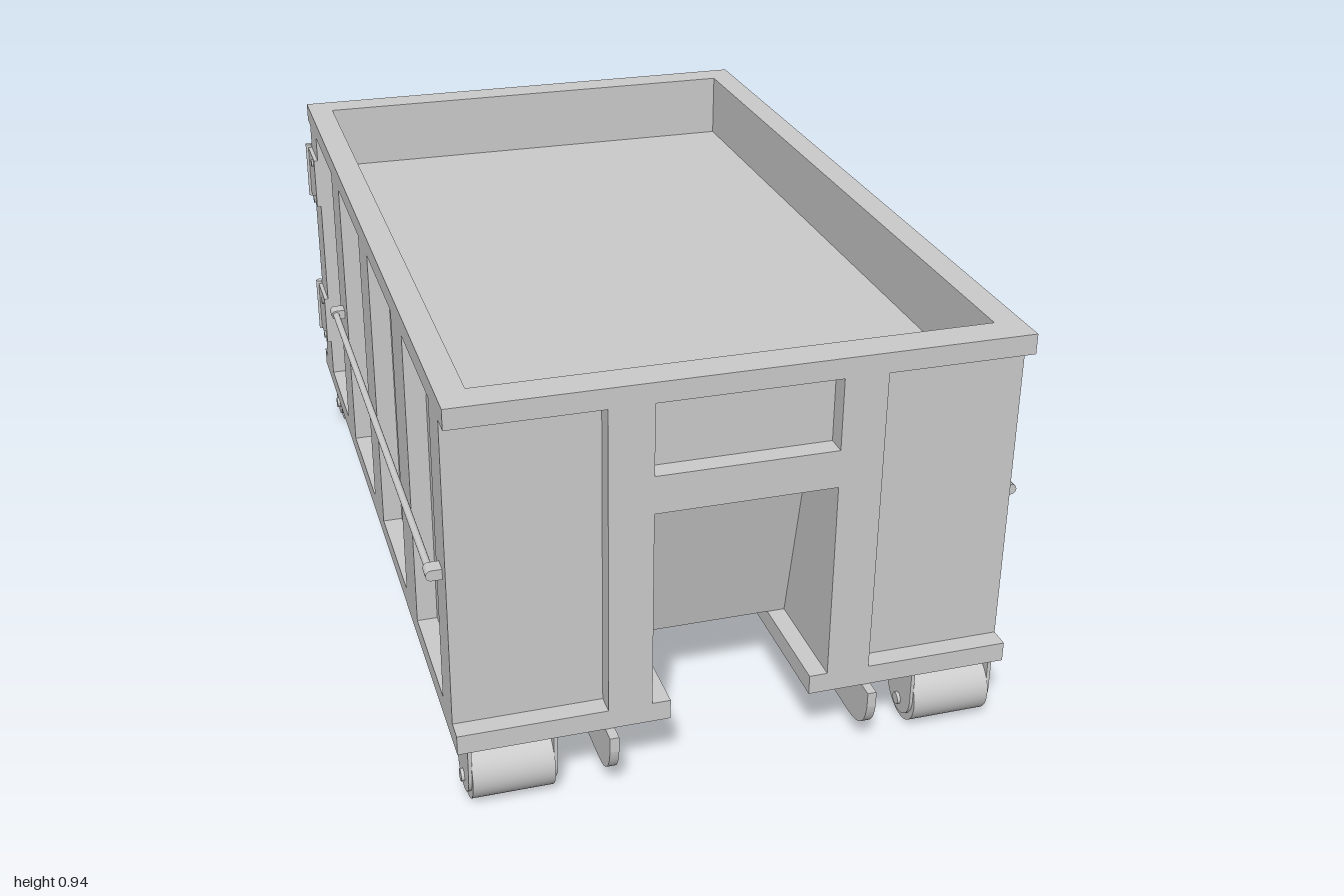
import * as THREE from 'three';

const material = new THREE.MeshStandardMaterial({ color: 0xcccccc });

export function createModel() {
  const model = new THREE.Group();
  model.name = 'rollOffContainer';

  const add = (name, geometry, parent = model) => {
    const mesh = new THREE.Mesh(geometry, material);
    mesh.name = name;
    parent.add(mesh);
    return mesh;
  };
  // Box given by its limits on each axis
  const box = (name, x0, x1, y0, y1, z0, z1, parent) => {
    const mesh = add(name, new THREE.BoxGeometry(Math.abs(x1 - x0), y1 - y0, Math.abs(z1 - z0)), parent);
    mesh.position.set((x0 + x1) / 2, (y0 + y1) / 2, (z0 + z1) / 2);
    return mesh;
  };
  // Side profile (z, y) extruded across x
  const prism = (name, shape, x, width, parent) => {
    const geometry = new THREE.ExtrudeGeometry(shape, { depth: width, bevelEnabled: false, curveSegments: 16 });
    geometry.translate(0, 0, -width / 2);
    const mesh = add(name, geometry.rotateY(-Math.PI / 2), model === parent ? model : parent);
    mesh.position.x = x;
    return mesh;
  };
  // Cylinder lying along x, y or z
  const rod = (name, radius, length, axis, x, y, z, parent, sides = 24) => {
    const geometry = new THREE.CylinderGeometry(radius, radius, length, sides);
    if (axis === 'x') geometry.rotateZ(Math.PI / 2);
    if (axis === 'z') geometry.rotateX(Math.PI / 2);
    const mesh = add(name, geometry, parent);
    mesh.position.set(x, y, z);
    return mesh;
  };
  // Horizontal rectangular ring around the open top
  const ring = (name, hx, hz, y0, y1) => {
    const rect = (a, b) => [[-a, -b], [a, -b], [a, b], [-a, b]].map(p => new THREE.Vector2(...p));
    const shape = new THREE.Shape(rect(hx, hz));
    shape.holes.push(new THREE.Path(rect(0.55, 0.89).reverse()));
    const geometry = new THREE.ExtrudeGeometry(shape, { depth: y1 - y0, bevelEnabled: false });
    add(name, geometry.rotateX(-Math.PI / 2)).position.y = y0;
  };

  // Body core, with a sloped tunnel end at front and back
  const core = new THREE.Shape([
    [-0.705, 0.195], [0.705, 0.195], [0.8, 0.65], [0.92, 0.65],
    [0.92, 0.78], [-0.92, 0.78], [-0.92, 0.65], [-0.8, 0.65],
  ].map(p => new THREE.Vector2(...p)));
  prism('centreBody', core, 0, 0.39, model);
  ring('upperWall', 0.565, 0.92, 0.78, 0.895);
  ring('topRim', 0.61, 0.965, 0.895, 0.94);

  // Skid rail profile with rounded lower ends
  const skid = new THREE.Shape();
  skid.moveTo(-1, 0.15);
  skid.lineTo(-1, 0.115);
  skid.quadraticCurveTo(-0.99, 0.04, -0.91, 0.04);
  skid.lineTo(0.91, 0.04);
  skid.quadraticCurveTo(0.99, 0.04, 1, 0.115);
  skid.lineTo(1, 0.15);

  // Roller bracket profile with a rounded lower end
  const bracket = new THREE.Shape();
  bracket.moveTo(-0.058, 0.15);
  bracket.lineTo(-0.058, 0.075);
  bracket.absarc(0, 0.075, 0.058, Math.PI, Math.PI * 2, false);
  bracket.lineTo(0.058, 0.15);

  for (const s of [1, -1]) {
    const side = new THREE.Group();
    side.name = s > 0 ? 'leftSide' : 'rightSide';
    model.add(side);

    box('sideBody', s * 0.195, s * 0.565, 0.195, 0.78, -0.92, 0.92, side);
    box('bottomRail', s * 0.155, s * 0.61, 0.15, 0.195, -0.965, 0.965, side);
    prism('skidRail', skid, s * 0.287, 0.02, side);

    // Side posts between the recessed panels
    for (const [z0, z1] of [[0.82, 0.92], [0.39, 0.525], [-0.06, 0.07], [-0.51, -0.38], [-0.92, -0.8]])
      box('sidePost', s * 0.565, s * 0.61, 0.195, 0.895, z0, z1, side);

    // Long side handrail on two end blocks
    rod('handrail', 0.008, 1.32, 'z', s * 0.632, 0.535, 0.215, side, 16);
    for (const z of [0.87, -0.445]) {
      box('handrailBlock', s * 0.61, s * 0.632, 0.523, 0.547, z - 0.017, z + 0.017, side);
      rod('handrailEnd', 0.012, 0.034, 'z', s * 0.632, 0.535, z, side, 16);
    }

    // Corner hinges at the back
    for (const y of [0.765, 0.357]) {
      const hinge = new THREE.Group();
      hinge.name = 'hinge';
      side.add(hinge);
      box('sideLeaf', s * 0.61, s * 0.62, y - 0.066, y + 0.066, -0.925, -0.8, hinge);
      box('backLeaf', s * 0.615, s * 0.495, y - 0.066, y + 0.066, -0.93, -0.92, hinge);
      rod('hingePin', 0.009, 0.148, 'y', s * 0.617, y, -0.926, hinge, 16);
      for (const dy of [-0.052, 0.052]) {
        rod('hingeBolt', 0.01, 0.008, 'x', s * 0.621, y + dy, -0.827, hinge, 12);
        rod('hingeBolt', 0.01, 0.008, 'z', s * 0.522, y + dy, -0.931, hinge, 12);
      }
    }

    for (const e of [1, -1]) {
      // End posts beside the tunnel
      box('endPost', s * 0.195, s * 0.29, 0.195, 0.895, e * 0.92, e * 0.965, side);

      // Ground roller in its bracket
      const roller = new THREE.Group();
      roller.name = 'rollerUnit';
      side.add(roller);
      rod('roller', 0.068, 0.176, 'x', s * 0.493, 0.068, e * 0.9, roller, 40);
      rod('axle', 0.014, 0.204, 'x', s * 0.493, 0.047, e * 0.9, roller, 12);
      for (const x of [0.402, 0.584])
        prism('rollerBracket', bracket, s * x, 0.008, roller).position.z = e * 0.9;
    }
  }

  // Crossbar over each tunnel
  for (const e of [1, -1])
    box('endCrossbar', -0.195, 0.195, 0.65, 0.735, e * 0.92, e * 0.965);

  return model;
}
